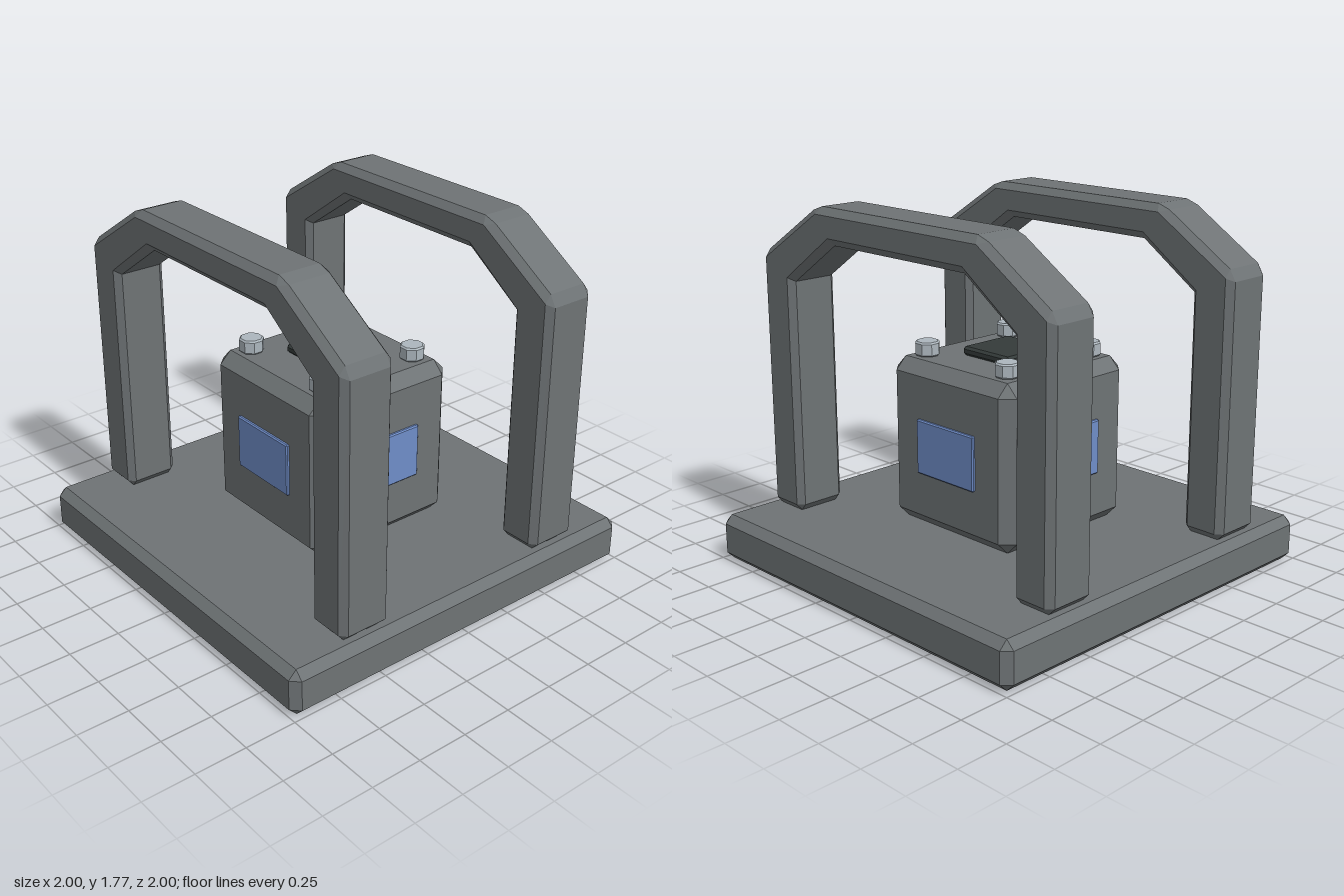
import * as THREE from 'three';
import { ConvexGeometry } from 'three/addons/geometries/ConvexGeometry.js';

const material = (name, color) => {
  const m = new THREE.MeshStandardMaterial({ color });
  m.name = name;
  return m;
};

// Box with every edge cut by a flat chamfer c, given half sizes
function chamferBox(hx, hy, hz, c) {
  const pts = [];
  for (const x of [-1, 1]) for (const y of [-1, 1]) for (const z of [-1, 1]) {
    pts.push(
      new THREE.Vector3(x * hx, y * (hy - c), z * (hz - c)),
      new THREE.Vector3(x * (hx - c), y * hy, z * (hz - c)),
      new THREE.Vector3(x * (hx - c), y * (hy - c), z * hz));
  }
  return new ConvexGeometry(pts);
}

// Arch swept from the +x foot to the -x foot with a chamfered section
function archGeometry(halfDepth, c) {
  const a = halfDepth - c;
  // Each station: outer side, face outer edge, face inner edge, inner side, half depth
  const half = [
    [[0.925, 0.23], [0.925, 0.23], [0.765, 0.23], [0.765, 0.23], a],
    [[0.96, 0.265], [0.925, 0.265], [0.765, 0.265], [0.735, 0.265], halfDepth],
    [[0.96, 1.47], [0.927, 1.485], [0.765, 1.408], [0.735, 1.39], halfDepth],
    [[0.928, 1.524], [0.927, 1.485], [0.765, 1.408], [0.735, 1.39], halfDepth],
    [[0.575, 1.749], [0.53, 1.737], [0.445, 1.635], [0.43, 1.6], halfDepth],
    [[0.51, 1.772], [0.53, 1.737], [0.445, 1.635], [0.43, 1.6], halfDepth],
  ];
  const flip = ([x, y]) => [-x, y];
  const mirrored = half.map(s => [...s.slice(0, 4).map(flip), s[4]]).reverse();
  const rings = [...half, ...mirrored].map(([o, fo, fi, i, h]) => [
    [...o, a], [...o, -a], [...fo, -h], [...fi, -h],
    [...i, -a], [...i, a], [...fi, h], [...fo, h],
  ]);

  const index = [];
  const last = (rings.length - 1) * 8;
  for (let r = 0; r < rings.length - 1; r++) {
    for (let j = 0; j < 8; j++) {
      const p = r * 8 + j, q = r * 8 + (j + 1) % 8;
      index.push(p, q, q + 8, p, q + 8, p + 8);
    }
  }
  for (let j = 1; j < 7; j++) {
    index.push(0, j + 1, j, last, last + j, last + j + 1);
  }
  const g = new THREE.BufferGeometry();
  g.setAttribute('position', new THREE.Float32BufferAttribute(rings.flat(2), 3));
  g.setIndex(index);
  const flat = g.toNonIndexed();
  flat.computeVertexNormals();
  return flat;
}

// Eight-sided bolt head with a small bevel at top and bottom
function boltGeometry() {
  const profile = [[0, 0], [0.053, 0], [0.061, 0.008], [0.061, 0.062], [0.053, 0.07], [0, 0.07]];
  const g = new THREE.LatheGeometry(profile.map(p => new THREE.Vector2(...p)), 8, Math.PI / 8).toNonIndexed();
  g.computeVertexNormals();
  return g;
}

export function createModel() {
  const model = new THREE.Group();
  model.name = 'cagedUnit';
  const grey = material('grey metal', 0x6e7375);
  const blue = material('blue panel', 0x6f8dc8);
  const dark = material('dark pad', 0x343b3a);
  const silver = material('silver bolt', 0xacb6bd);

  const add = (name, geometry, mat, x = 0, y = 0, z = 0) => {
    const mesh = new THREE.Mesh(geometry, mat);
    mesh.name = name;
    mesh.position.set(x, y, z);
    model.add(mesh);
    return mesh;
  };

  // Base plate and central housing
  add('basePlate', chamferBox(1, 0.115, 1, 0.04), grey, 0, 0.115, 0);
  add('housing', chamferBox(0.403, 0.406, 0.403, 0.06), grey, 0, 0.635, 0);

  // Guard arches in front and behind
  const arch = archGeometry(0.134, 0.03);
  add('frontArch', arch, grey, 0, 0, 0.575);
  add('backArch', arch, grey, 0, 0, -0.575);

  // One panel on each side of the housing
  const panel = chamferBox(0.192, 0.134, 0.011, 0.006);
  ['frontPanel', 'leftPanel', 'backPanel', 'rightPanel'].forEach((name, i) => {
    const t = i * Math.PI / 2;
    add(name, panel, blue, Math.sin(t) * 0.407, 0.638, Math.cos(t) * 0.407).rotation.y = t;
  });

  // Pad and corner bolts on the housing top
  add('topPad', chamferBox(0.153, 0.022, 0.153, 0.012), dark, 0, 1.064, 0);
  const bolt = boltGeometry();
  for (const x of [-0.27, 0.27]) for (const z of [-0.27, 0.27]) {
    add('bolt', bolt, silver, x, 1.044, z);
  }
  return model;
}
